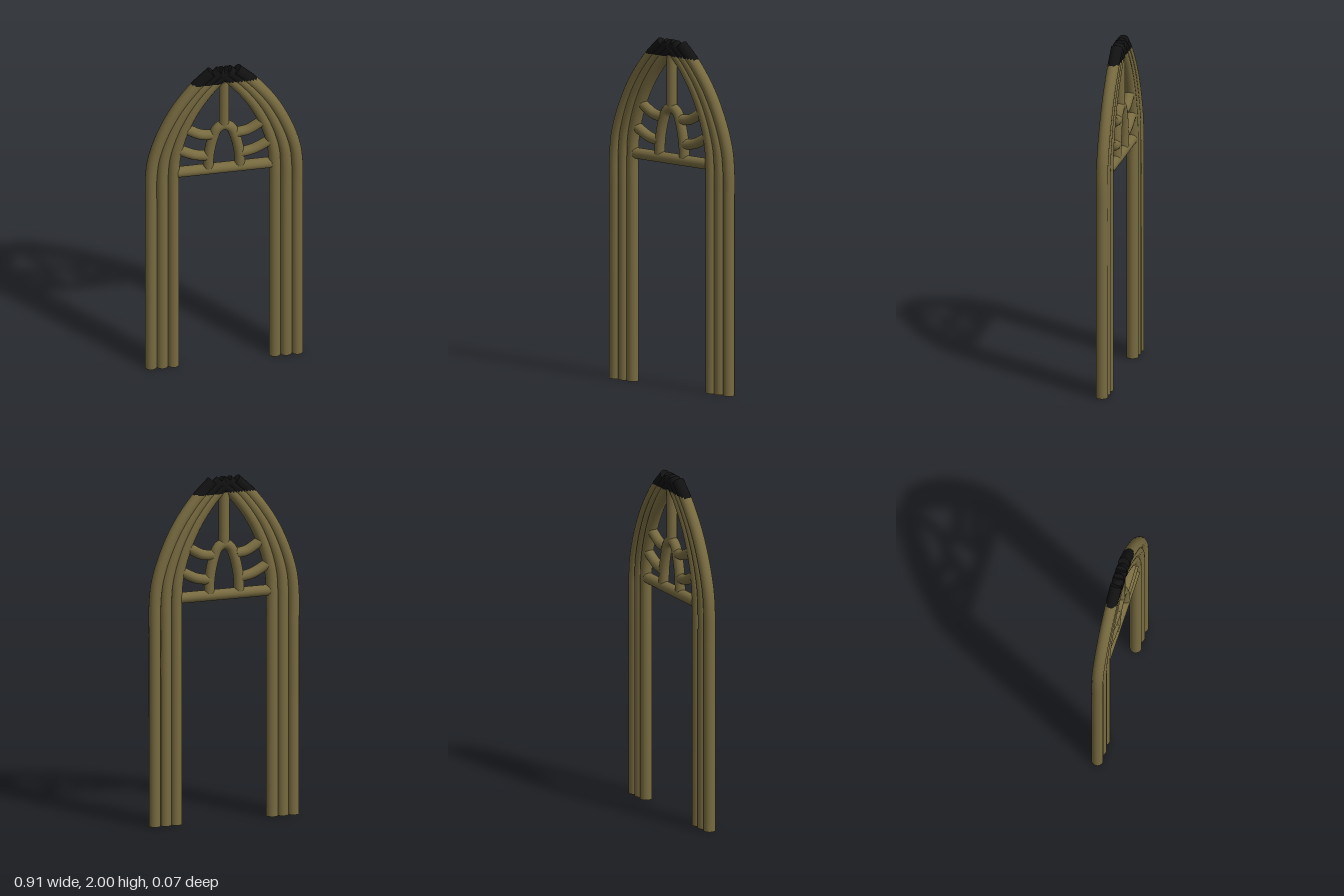
import * as THREE from 'three';
import { mergeGeometries } from 'three/addons/utils/BufferGeometryUtils.js';

const CAP_HEIGHT = 1.905;

// Round rod with closed ends, following points given as [x, y]
function rodGeometry(points, radius, segments) {
  const curve = new THREE.CatmullRomCurve3(points.map(([x, y]) => new THREE.Vector3(x, y, 0)));
  const parts = [new THREE.TubeGeometry(curve, segments, radius, 16)];
  for (const t of [0, 1]) {
    const direction = curve.getTangentAt(t).multiplyScalar(t ? 1 : -1);
    const disc = new THREE.CircleGeometry(radius, 16);
    disc.applyQuaternion(new THREE.Quaternion().setFromUnitVectors(new THREE.Vector3(0, 0, 1), direction));
    const p = curve.getPointAt(t);
    disc.translate(p.x, p.y, p.z);
    parts.push(disc);
  }
  return mergeGeometries(parts);
}

// Give faces above the given height the second material
function splitAtHeight(geometry, height) {
  const index = geometry.index.array;
  const pos = geometry.attributes.position;
  const low = [], high = [];
  for (let i = 0; i < index.length; i += 3) {
    const tri = [index[i], index[i + 1], index[i + 2]];
    const y = (pos.getY(tri[0]) + pos.getY(tri[1]) + pos.getY(tri[2])) / 3;
    (y > height ? high : low).push(...tri);
  }
  geometry.setIndex([...low, ...high]);
  geometry.clearGroups();
  geometry.addGroup(0, low.length, 0);
  geometry.addGroup(low.length, high.length, 1);
  return geometry;
}

export function createModel() {
  const model = new THREE.Group();
  model.name = 'archedTrellis';
  const wood = new THREE.MeshStandardMaterial({ name: 'olive wood', color: 0x786b40 });
  const binding = new THREE.MeshStandardMaterial({ name: 'black binding', color: 0x111111 });

  const addRod = (name, points, radius = 0.032, segments = 24) => {
    const mesh = new THREE.Mesh(rodGeometry(points, radius, segments), wood);
    mesh.name = name;
    model.add(mesh);
    return mesh;
  };

  // Outer and inner arch ribs; the middle rib lies halfway between them
  const outer = [[0.421, 0], [0.421, 0.6], [0.421, 1.1], [0.42, 1.3], [0.405, 1.42],
    [0.355, 1.575], [0.275, 1.735], [0.165, 1.882], [0.07, 1.974]];
  const inner = [[0.292, 0], [0.292, 0.6], [0.292, 1.1], [0.291, 1.3], [0.283, 1.42],
    [0.243, 1.575], [0.17, 1.735], [0.065, 1.882], [-0.03, 1.974]];

  for (const side of [1, -1]) {
    const label = side > 0 ? 'left' : 'right';
    const mirror = (points) => points.map(([x, y]) => [x * side, y]);

    // Bundle of three ribs with dark tips
    ['OuterRib', 'MiddleRib', 'InnerRib'].forEach((rib, i) => {
      const path = outer.map(([x, y], k) => [THREE.MathUtils.lerp(x, inner[k][0], i / 2), y]);
      const mesh = addRod(label + rib, mirror(path), 0.034, 160);
      splitAtHeight(mesh.geometry, CAP_HEIGHT);
      mesh.material = [wood, binding];
    });

    // Curved branches between the small arch and the ribs
    addRod(label + 'UpperBranch', mirror([[0.07, 1.545], [0.135, 1.555], [0.215, 1.6]]), 0.03);
    addRod(label + 'LowerBranch', mirror([[0.095, 1.405], [0.17, 1.42], [0.26, 1.465]]), 0.03);
  }

  // Tracery in the head of the arch
  addRod('crossbar', [[-0.27, 1.313], [0.27, 1.313]], 0.032);
  addRod('centrePost', [[0, 1.6], [0, 1.91]], 0.03);
  addRod('smallArch', [[-0.092, 1.31], [-0.086, 1.42], [-0.062, 1.53], [-0.038, 1.585], [0, 1.606],
    [0.038, 1.585], [0.062, 1.53], [0.086, 1.42], [0.092, 1.31]], 0.03, 48);

  return model;
}
